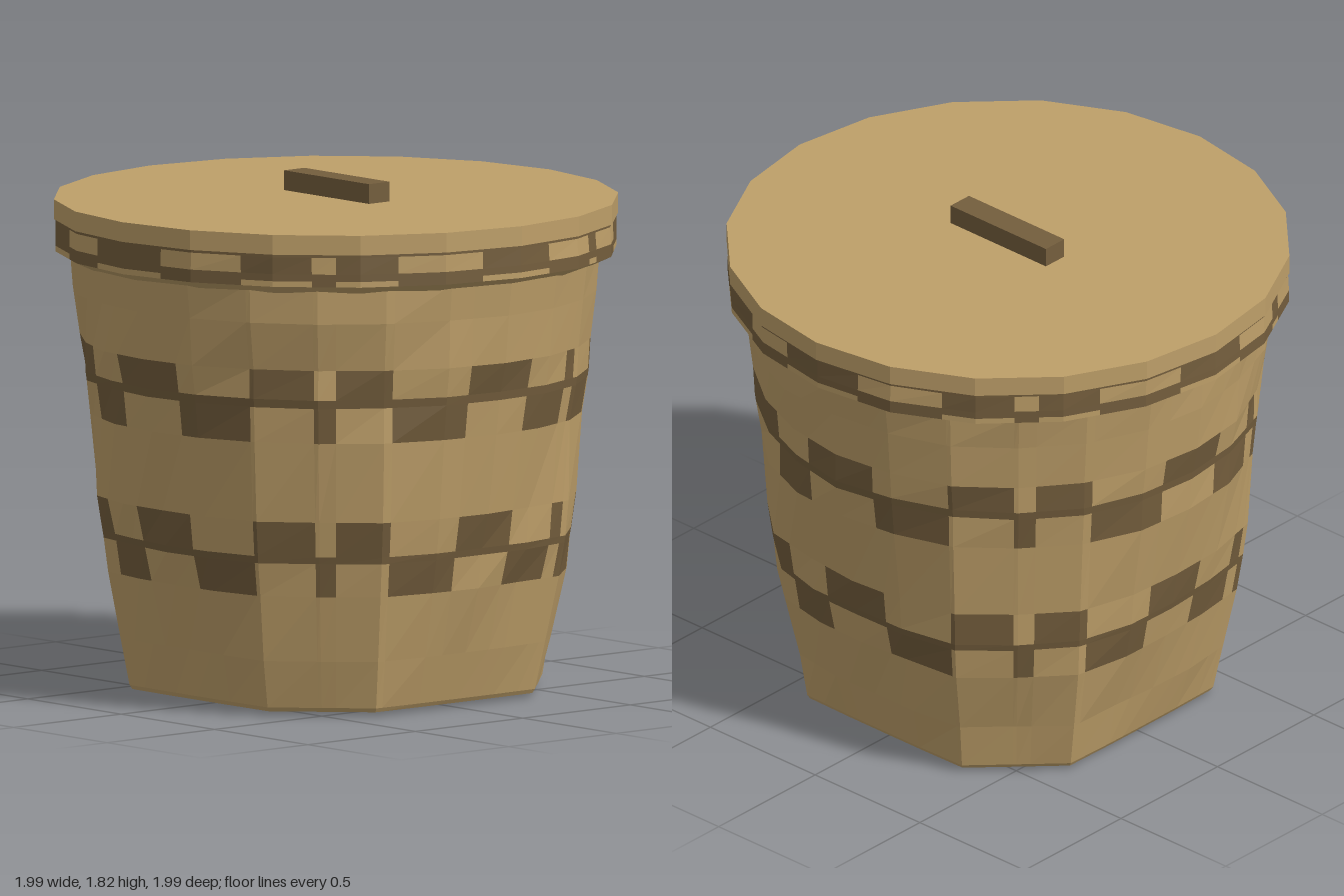
import * as THREE from 'three';

const light = new THREE.MeshStandardMaterial({ color: 0xbe9f69 });
light.name = 'pale wicker';
const dark = new THREE.MeshStandardMaterial({ color: 0x745e3d });
dark.name = 'dark wicker';

// Weave: degrees round one half; even blocks sit high, odd blocks sit low
const HALF = [0, 10, 29, 44, 49, 62, 81, 99, 114, 118, 134, 156, 170];
const kindAt = (deg) => (HALF.filter((e) => e <= deg % 180).length % 2 ? 'high' : 'low');

// Repeatable dent value from -1 to 1
const dent = (i, j) => {
  const s = Math.sin(i * 127.1 + j * 311.7) * 43758.5453;
  return (s - Math.floor(s)) * 2 - 1;
};

// Ring of corner radii: cut-corner square at the base, turning round higher up
function ring(sides, y, r, crumple) {
  const t = Math.min(1, y / 1.1);
  const level = Math.round(y * 10);
  return Array.from({ length: sides }, (_, i) => {
    const a = (i / sides) * Math.PI * 2;
    const c = Math.abs(Math.cos(a)), s = Math.abs(Math.sin(a));
    const square = Math.min(1 / Math.max(c, s), 1.57 / (c + s));
    return r * (square + (1 - square) * t) + (level ? crumple * dent(i, level) : 0);
  });
}

// Point on the straight edges of a ring at a given angle
function pointOn(radii, deg, y) {
  const n = radii.length, step = 360 / n;
  const k = Math.floor(deg / step + 1e-6);
  const rad = THREE.MathUtils.degToRad;
  const a0 = rad(k * step), a1 = rad((k + 1) * step), a = rad(deg);
  const r0 = radii[k % n], r1 = radii[(k + 1) % n];
  const r = (r0 * r1 * Math.sin(a1 - a0)) / (r0 * Math.sin(a - a0) + r1 * Math.sin(a1 - a));
  return [Math.sin(a) * r, y, Math.cos(a) * r];
}

// Faceted band: rows are [y, radius, which blocks are dark in the strip above]
function wovenBand(name, sides, rows, crumple, base) {
  const angles = new Set();
  for (let i = 0; i < sides; i++) angles.add((i * 360) / sides);
  HALF.forEach((e) => angles.add(e).add(e + 180));
  const list = [...angles].sort((a, b) => a - b);
  list.push(360);
  const rings = rows.map(([y, r]) => ring(sides, y, r, crumple));
  const pale = [], deep = [];
  for (let i = 0; i < list.length - 1; i++) {
    const a = list[i], b = list[i + 1];
    const kind = kindAt((a + b) / 2);
    for (let j = 0; j < rows.length - 1; j++) {
      const y0 = rows[j][0], y1 = rows[j + 1][0], paint = rows[j][2];
      const p = pointOn(rings[j], a, y0), q = pointOn(rings[j], b, y0);
      const u = pointOn(rings[j + 1], b, y1), v = pointOn(rings[j + 1], a, y1);
      const out = paint === 'all' || paint === kind ? deep : pale;
      out.push(...p, ...q, ...u, ...p, ...u, ...v);
    }
    // underside
    if (base) pale.push(0, 0, 0, ...pointOn(rings[0], b, rows[0][0]), ...pointOn(rings[0], a, rows[0][0]));
  }
  const geo = new THREE.BufferGeometry();
  geo.setAttribute('position', new THREE.Float32BufferAttribute([...pale, ...deep], 3));
  geo.addGroup(0, pale.length / 3, 0);
  geo.addGroup(pale.length / 3, deep.length / 3, 1);
  geo.computeVertexNormals();
  const mesh = new THREE.Mesh(geo, [light, dark]);
  mesh.name = name;
  return mesh;
}

export function createModel() {
  const basket = new THREE.Group();
  basket.name = 'lidded basket';

  // Tapered body with two woven stripes
  basket.add(wovenBand('basketBody', 24, [
    [0.015, 0.635, ''], [0.03, 0.645, ''], [0.2, 0.69, ''],
    [0.435, 0.755, 'low'], [0.555, 0.782, 'all'], [0.58, 0.788, 'high'], [0.705, 0.812, ''],
    [0.99, 0.865, 'low'], [1.115, 0.885, 'all'], [1.145, 0.889, 'high'], [1.25, 0.9, ''],
    [1.42, 0.92, ''], [1.55, 0.935, ''],
  ], 0.01, true));

  // Overhanging rim with pale chips
  basket.add(wovenBand('rim', 20, [
    [1.53, 0.925, ''], [1.56, 0.99, 'low'], [1.58, 0.99, 'all'],
    [1.605, 0.99, 'high'], [1.665, 0.99, 'all'], [1.68, 0.99, ''],
  ], 0.004, false));

  // Flat lid
  const lid = new THREE.Mesh(new THREE.CylinderGeometry(0.995, 0.995, 0.07, 20).toNonIndexed(), light);
  lid.geometry.computeVertexNormals();
  lid.name = 'lid';
  lid.position.y = 1.71;
  basket.add(lid);

  // Bar handle
  const handle = new THREE.Mesh(new THREE.BoxGeometry(0.455, 0.08, 0.095), dark);
  handle.name = 'lidHandle';
  handle.position.set(0, 1.775, -0.003);
  basket.add(handle);

  return basket;
}
